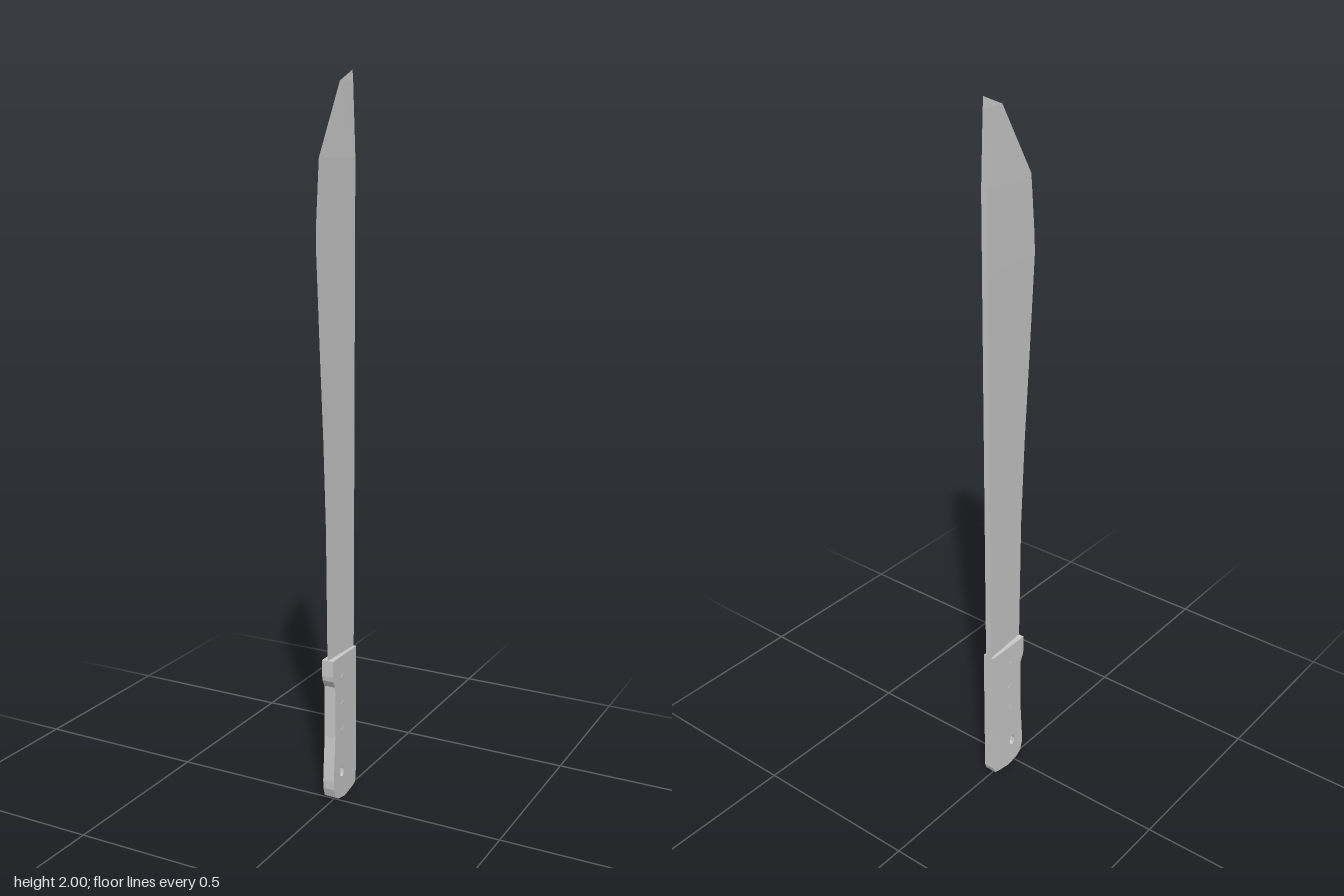
import * as THREE from 'three';

const SPINE = -0.1; // z of the straight back edge
const material = new THREE.MeshStandardMaterial({ color: 0xcccccc, flatShading: true, side: THREE.DoubleSide });

// Wedge-shaped blade: triangular sections, thick at the spine and sharp at the edge
function bladeGeometry() {
  // [height, z of cutting edge, half thickness at spine]
  const sections = [
    [0.40, 0.04, 0.009], [0.8, 0.048, 0.009], [1.05, 0.062, 0.009],
    [1.3, 0.081, 0.009], [1.57, 0.1, 0.009], [1.62, 0.098, 0.009],
    [1.78, 0.083, 0.009], [1.97, -0.03, 0.002], [2.0, SPINE, 0],
  ];
  const positions = [];
  const ring = ([y, edge, t]) => [[t, y, SPINE], [0, y, edge], [-t, y, SPINE]];
  for (let i = 0; i < sections.length - 1; i++) {
    const a = ring(sections[i]), b = ring(sections[i + 1]);
    for (let j = 0; j < 3; j++) {
      const k = (j + 1) % 3;
      positions.push(...a[j], ...b[j], ...b[k], ...a[j], ...b[k], ...a[k]);
    }
  }
  const geometry = new THREE.BufferGeometry();
  geometry.setAttribute('position', new THREE.Float32BufferAttribute(positions, 3));
  geometry.computeVertexNormals();
  return geometry;
}

// Handle slab: side profile in (z, y) with a lanyard hole, extruded across x
function handleGeometry() {
  const points = [
    [SPINE, 0.43], [SPINE, 0.03], [-0.094, 0.014], [-0.075, 0.008], [-0.03, 0],
    [0.008, 0.008], [0.026, 0.02], [0.034, 0.045], [0.035, 0.07], [0.026, 0.2],
    [0.027, 0.35], [0.038, 0.37], [0.04, 0.385], [0.04, 0.43],
  ];
  const shape = new THREE.Shape(points.map(([z, y]) => new THREE.Vector2(z, y)));
  const hole = new THREE.Path();
  hole.absellipse(-0.014, 0.085, 0.011, 0.019, 0, Math.PI * 2);
  shape.holes.push(hole);
  const depth = 0.034;
  const geometry = new THREE.ExtrudeGeometry(shape, { depth, bevelEnabled: false, curveSegments: 4 });
  return geometry.translate(0, 0, -depth / 2).rotateY(-Math.PI / 2);
}

export function createModel() {
  const model = new THREE.Group();
  model.name = 'machete';
  const add = (name, geometry) => {
    const mesh = new THREE.Mesh(geometry, material);
    mesh.name = name;
    model.add(mesh);
    return mesh;
  };

  add('blade', bladeGeometry());
  add('handle', handleGeometry());

  // Three small studs passing through the grip
  const stud = new THREE.CylinderGeometry(0.011, 0.011, 0.036, 8).rotateZ(Math.PI / 2);
  for (const y of [0.205, 0.285, 0.365]) add('gripStud', stud).position.set(0, y, -0.02);

  return model;
}
